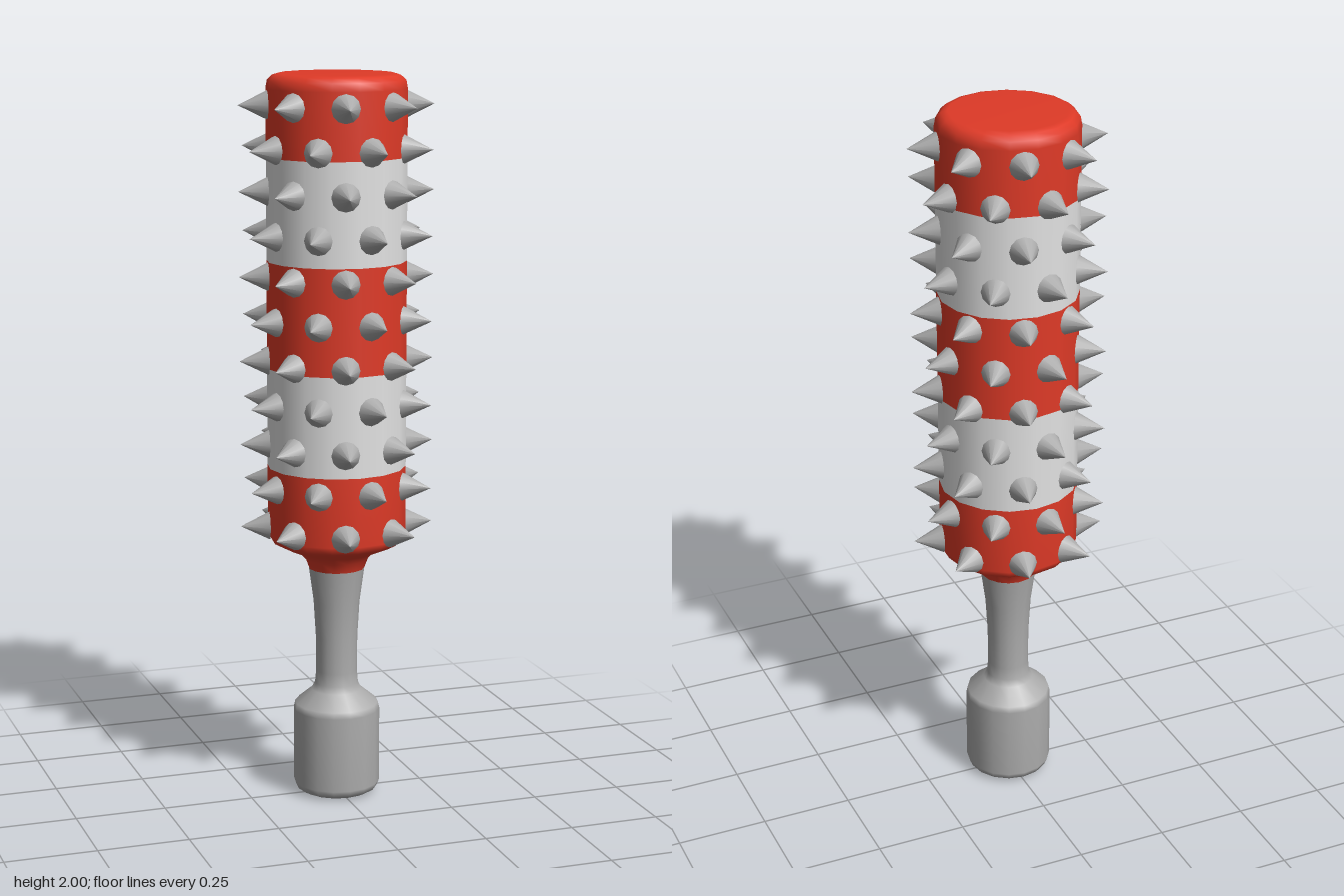
import * as THREE from 'three';

const SIDES = 16;

const material = (name, color) => {
  const m = new THREE.MeshStandardMaterial({ color });
  m.name = name;
  return m;
};

export function createModel() {
  const group = new THREE.Group();
  const red = material('red paint', 0xdf3a27);
  const white = material('white paint', 0xe2e2e2);
  const steel = material('grey steel', 0xacacac);

  // Turned part from [radius, height] points, bottom to top
  const turned = (name, points, mat) => {
    const profile = points.map(([r, y]) => new THREE.Vector2(r, y));
    const mesh = new THREE.Mesh(new THREE.LatheGeometry(profile, SIDES), mat);
    mesh.name = name;
    group.add(mesh);
  };

  // Handle: heavy pommel, thin grip, slight flare at the neck
  turned('handle', [
    [0, 0], [0.095, 0.003], [0.112, 0.012], [0.12, 0.03], [0.12, 0.24],
    [0.116, 0.258], [0.07, 0.296], [0.06, 0.315], [0.057, 0.35],
    [0.058, 0.45], [0.064, 0.55], [0.077, 0.645],
  ], steel);

  // Club head: striped bands
  turned('lowerBand', [
    [0.077, 0.645], [0.087, 0.672], [0.105, 0.691], [0.155, 0.712],
    [0.178, 0.724], [0.19, 0.745], [0.19, 0.935],
  ], red);
  turned('lowerWhiteBand', [[0.19, 0.935], [0.19, 1.21]], white);
  turned('middleBand', [[0.19, 1.21], [0.19, 1.5]], red);
  turned('upperWhiteBand', [[0.19, 1.5], [0.19, 1.78]], white);
  turned('topBand', [
    [0.19, 1.78], [0.19, 1.96], [0.186, 1.982], [0.172, 1.995],
    [0.155, 2], [0, 2],
  ], red);

  // Spikes: eleven rings of eight, staggered from ring to ring
  const spikeGeometry = new THREE.ConeGeometry(0.039, 0.079, 12);
  spikeGeometry.rotateX(Math.PI / 2);
  spikeGeometry.translate(0, 0, 0.186 + 0.0395);
  const spikes = new THREE.Group();
  spikes.name = 'spikes';
  for (let ring = 0; ring < 11; ring++) {
    const offset = (ring % 2 ? 1 : -1) * Math.PI / 16;
    for (let i = 0; i < 8; i++) {
      const spike = new THREE.Mesh(spikeGeometry, steel);
      spike.name = 'spike';
      spike.position.y = 1.917 - ring * 0.1148;
      spike.rotation.y = offset + i * Math.PI / 4;
      spikes.add(spike);
    }
  }
  group.add(spikes);

  return group;
}
